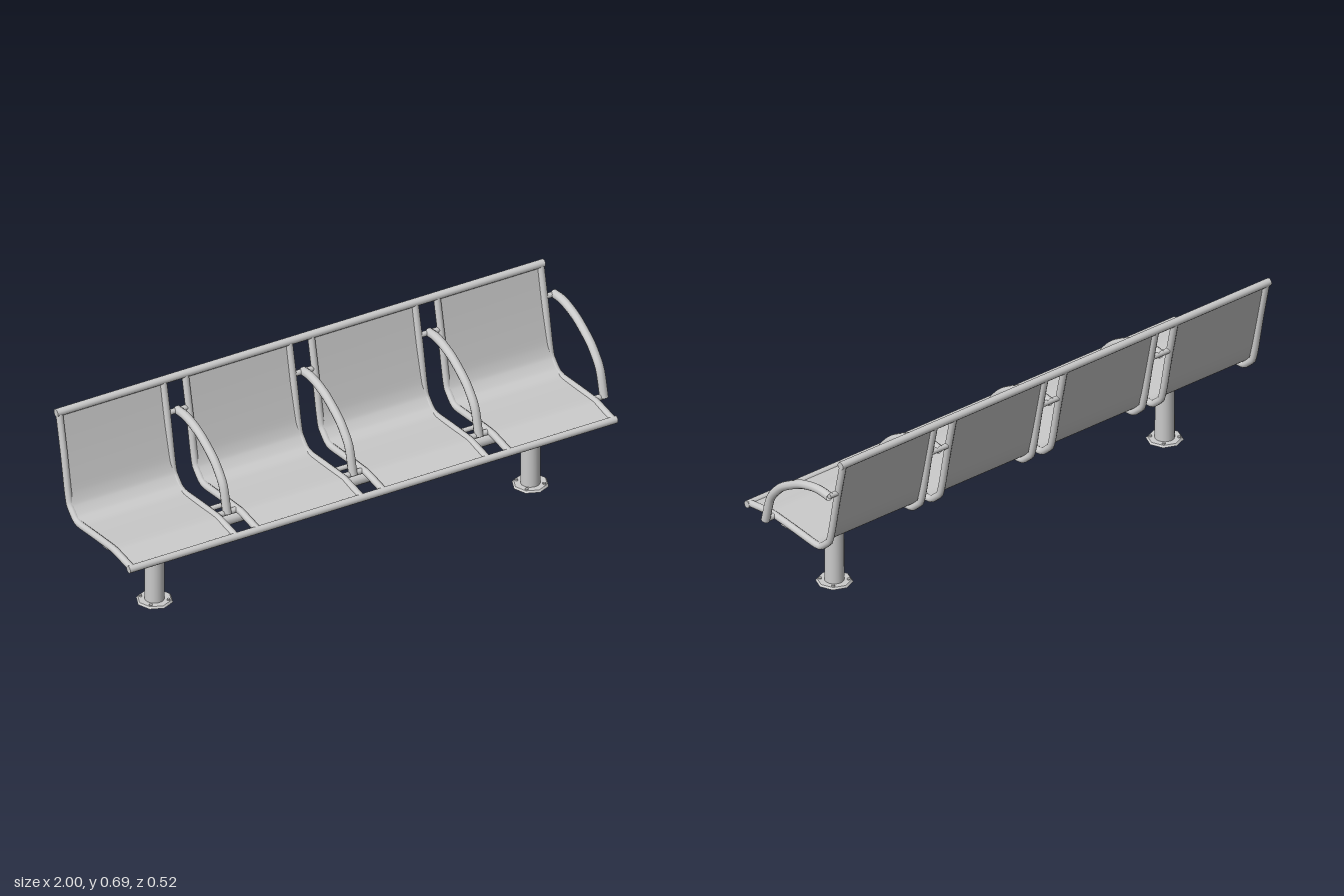
import * as THREE from 'three';

const material = new THREE.MeshStandardMaterial({ color: 0xcccccc });
const sheet = new THREE.MeshStandardMaterial({ color: 0xcccccc, side: THREE.DoubleSide });

// Profiles in the side plane, as [z, y]
const FRAME = [[0.25, 0.302], [0.13, 0.314], [0, 0.302], [-0.1, 0.291], [-0.132, 0.295],
  [-0.175, 0.334], [-0.19, 0.39], [-0.215, 0.52], [-0.248, 0.67]];
const PANEL = [[0.25, 0.305], [0.19, 0.311], [0.13, 0.318], [0.02, 0.307], [-0.085, 0.298], [-0.13, 0.308],
  [-0.162, 0.338], [-0.182, 0.385], [-0.215, 0.52], [-0.247, 0.67]];
const ARM = [[0.115, 0.308], [0.089, 0.405], [0.052, 0.455], [0.012, 0.489], [-0.065, 0.53],
  [-0.13, 0.549], [-0.18, 0.554], [-0.226, 0.549]];

function add(parent, name, geometry, mat = material) {
  const mesh = new THREE.Mesh(geometry, mat);
  mesh.name = name;
  parent.add(mesh);
  return mesh;
}

// Horizontal round bar along x
function bar(parent, name, x0, x1, y, z, radius) {
  const mesh = add(parent, name, new THREE.CylinderGeometry(radius, radius, x1 - x0, 12));
  mesh.rotation.z = Math.PI / 2;
  mesh.position.set((x0 + x1) / 2, y, z);
  return mesh;
}

// Bent tube lying in the side plane at a given x
function sideTube(parent, name, profile, x, radius, tension) {
  const points = profile.map(([z, y]) => new THREE.Vector3(x, y, z));
  const curve = new THREE.CatmullRomCurve3(points, false, 'catmullrom', tension);
  return add(parent, name, new THREE.TubeGeometry(curve, 48, radius, 10), sheet);
}

// Thin sheet swept along the seat profile
function panelGeometry(width) {
  const curve = new THREE.CatmullRomCurve3(PANEL.map(([z, y]) => new THREE.Vector3(0, y, z)),
    false, 'catmullrom', 0.3);
  const rows = 40;
  const geometry = new THREE.PlaneGeometry(width, 1, 1, rows);
  const pos = geometry.attributes.position;
  for (let i = 0; i < pos.count; i++) {
    const p = curve.getPoint(1 - Math.floor(i / 2) / rows);
    pos.setXYZ(i, pos.getX(i), p.y, p.z);
  }
  geometry.computeVertexNormals();
  return geometry;
}

// Shallow saddle joining the seat frame to the beam
function saddleGeometry(half) {
  const shape = new THREE.Shape([
    [-half, 0.297], [-half, 0.286], [-0.1, 0.262], [-0.04, 0.254], [0.04, 0.254],
    [0.1, 0.262], [half, 0.286], [half, 0.297],
  ].map(([x, y]) => new THREE.Vector2(x, y)));
  return new THREE.ExtrudeGeometry(shape, { depth: 0.072, bevelEnabled: false });
}

export function createModel() {
  const bench = new THREE.Group();
  bench.name = 'bench';
  const pitch = 0.504, width = 0.442, left = -1, tube = 0.013;

  for (let i = 0; i < 4; i++) {
    const x0 = left + i * pitch;
    const x1 = i === 3 ? 0.953 : x0 + width;
    const mid = (x0 + x1) / 2;

    // Seat shell with its side tubes
    const seat = new THREE.Group();
    seat.name = 'seat';
    bench.add(seat);
    add(seat, 'seatPanel', panelGeometry(x1 - x0 - tube * 2), sheet).position.x = mid;
    for (const x of [x0 + tube, x1 - tube]) sideTube(seat, 'sideFrame', FRAME, x, tube, 0.2);
    add(seat, 'saddle', saddleGeometry((x1 - x0) / 2 - tube)).position.set(mid, 0, 0.01);

    // Armrest on the seat's left, with short bars reaching the frames
    const arm = new THREE.Group();
    arm.name = 'armrest';
    bench.add(arm);
    const armX = i === 3 ? 0.982 : x1 + (pitch - width) / 2;
    const end = i === 3 ? armX : x1 + pitch - width + tube;
    sideTube(arm, 'armTube', ARM, armX, 0.016, 0.45).scale.set(1, 1, 1);
    bar(arm, 'armFoot', x1 - tube, end, 0.312, 0.112, 0.011);
    bar(arm, 'armBracket', x1 - tube, end, 0.55, -0.222, 0.01);
    if (i < 3) bar(arm, 'crossBar', x1 - tube, end, 0.303, 0.05, 0.009);
  }

  // Long rails shared by all seats
  bar(bench, 'frontRail', left, 0.953, 0.3, 0.249, 0.0135);
  bar(bench, 'topRail', left, 0.953, 0.671, -0.248, 0.0145);
  bar(bench, 'beam', -0.775, 0.728, 0.236, 0.046, 0.022);

  // Posts on octagonal foot plates
  for (const x of [-0.777, 0.728]) {
    const leg = new THREE.Group();
    leg.name = 'leg';
    leg.position.set(x, 0, 0.046);
    bench.add(leg);
    add(leg, 'post', new THREE.CylinderGeometry(0.034, 0.035, 0.26, 20)).position.y = 0.13;
    const foot = add(leg, 'footPlate', new THREE.CylinderGeometry(0.06, 0.066, 0.007, 8));
    foot.position.y = 0.0035;
    for (let k = 0; k < 4; k++) {
      const a = k * Math.PI / 2 + Math.PI / 4;
      add(leg, 'footBolt', new THREE.CylinderGeometry(0.006, 0.006, 0.006, 8))
        .position.set(Math.cos(a) * 0.05, 0.009, Math.sin(a) * 0.05);
    }
  }
  return bench;
}
